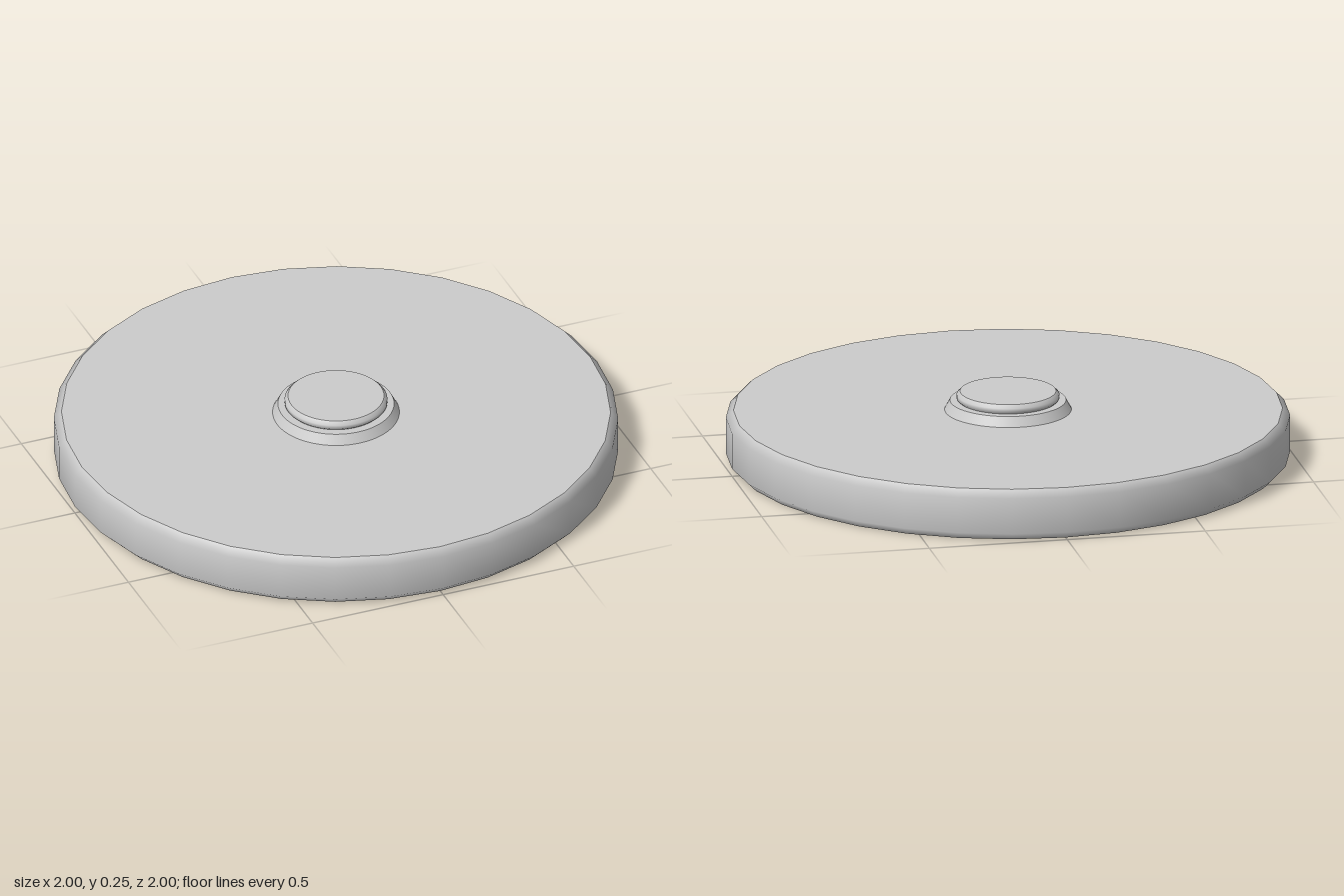
import * as THREE from 'three';
import { mergeGeometries } from 'three/addons/utils/BufferGeometryUtils.js';

const material = new THREE.MeshStandardMaterial({ color: 0xcccccc });

// Turned part: each run of [radius, y] points is smooth, with a sharp edge between runs
function turned(name, segments, runs) {
  const pieces = runs.map((run) =>
    new THREE.LatheGeometry(run.map(([r, y]) => new THREE.Vector2(r, y)), segments));
  const mesh = new THREE.Mesh(mergeGeometries(pieces), material);
  mesh.name = name;
  return mesh;
}

export function createModel() {
  const model = new THREE.Group();
  model.name = 'discWithButton';

  // Wide disc with softly chamfered rim
  model.add(turned('disc', 32, [
    [[0, 0], [0.973, 0]],
    [[0.973, 0], [1, 0.027], [1, 0.158], [0.973, 0.185]],
    [[0.973, 0.185], [0, 0.185]],
  ]));

  // Sloping collar around the button
  model.add(turned('collar', 64, [
    [[0.226, 0.183], [0.206, 0.22]],
    [[0.206, 0.22], [0.15, 0.22]],
  ]));

  // Raised button with chamfered edges
  model.add(turned('button', 64, [
    [[0.17, 0.215], [0.182, 0.227], [0.182, 0.241], [0.17, 0.253]],
    [[0.17, 0.253], [0, 0.253]],
  ]));

  return model;
}
